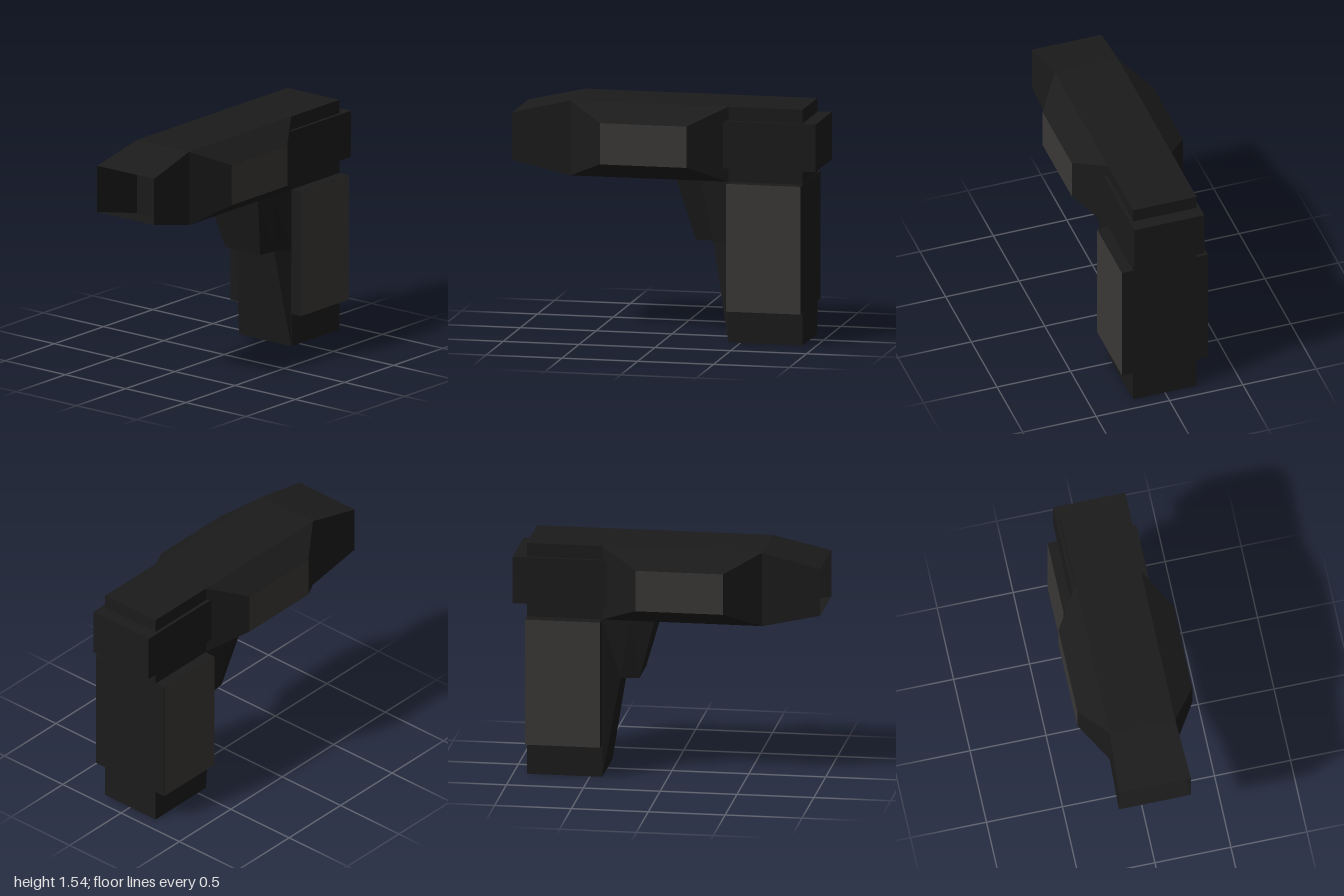
import * as THREE from 'three';

const dark = new THREE.MeshStandardMaterial({ color: 0x1b1b1b, flatShading: true });
const darkOpen = new THREE.MeshStandardMaterial({ color: 0x1b1b1b, flatShading: true, side: THREE.DoubleSide });
const light = new THREE.MeshStandardMaterial({ color: 0x3a3836, flatShading: true });

// Convex solid between two four-cornered loops; the end caps can be left off
function loft(a, b, caps = true) {
  const center = new THREE.Vector3();
  const A = a.map(p => new THREE.Vector3(...p));
  const B = b.map(p => new THREE.Vector3(...p));
  [...A, ...B].forEach(p => center.addScaledVector(p, 1 / 8));
  const faces = caps ? [A, B] : [];
  for (let i = 0; i < 4; i++) {
    const j = (i + 1) % 4;
    faces.push([A[i], A[j], B[j], B[i]]);
  }
  const points = [];
  for (const [p, q, r, s] of faces) {
    // Turn every face away from the middle of the solid
    const normal = r.clone().sub(p).cross(s.clone().sub(q));
    const out = p.clone().add(q).add(r).add(s).multiplyScalar(0.25).sub(center);
    points.push(...(normal.dot(out) > 0 ? [p, q, r, p, r, s] : [p, r, q, p, s, r]));
  }
  const geometry = new THREE.BufferGeometry().setFromPoints(points);
  geometry.computeVertexNormals();
  return geometry;
}

// Loops: upright across z, upright across x, and level with separate front and back widths
const acrossZ = (z, w, y0, y1) => [[-w, y0, z], [w, y0, z], [w, y1, z], [-w, y1, z]];
const acrossX = (x, z0, z1, y0, y1) => [[x, y0, z0], [x, y0, z1], [x, y1, z1], [x, y1, z0]];
const level = (y, zBack, wBack, zFront, wFront) =>
  [[-wBack, y, zBack], [wBack, y, zBack], [wFront, y, zFront], [-wFront, y, zFront]];

export function createModel() {
  const group = new THREE.Group();
  const add = (name, geometry, material = dark) => {
    const mesh = new THREE.Mesh(geometry, material);
    mesh.name = name;
    group.add(mesh);
    return mesh;
  };
  const block = (name, w, y0, y1, z0, z1) =>
    add(name, loft(acrossZ(z0, w, y0, y1), acrossZ(z1, w, y0, y1)));

  // Barrel with an open, tapering nozzle and a rear cap
  block('barrel', 0.216, 1.05, 1.54, -0.91, 0.62);
  add('nozzle', loft(acrossZ(0.62, 0.216, 1.05, 1.54), acrossZ(1, 0.237, 1.14, 1.45), false), darkOpen);
  block('rearCap', 0.237, 1.14, 1.45, -1, -0.38);

  // Grip with a wider sleeve around its upper part
  block('grip', 0.216, 0, 1.05, -0.91, -0.42);
  block('gripSleeve', 0.292, 0.215, 1.05, -0.912, -0.423);

  // Waisted front of the grip and the trigger block ahead of it
  const waist = level(0.65, -0.42, 0.216, -0.31, 0.162);
  add('gripFrontLower', loft(level(0, -0.43, 0.216, -0.42, 0.216), waist));
  add('gripFrontUpper', loft(waist, level(1.05, -0.42, 0.216, -0.24, 0.216)));
  add('trigger', loft(level(0.65, -0.31, 0.162, -0.19, 0.146), level(1.05, -0.24, 0.216, -0.08, 0.216)));

  // Bevelled side bulges, and the lighter plates on the bulges and the sleeve
  for (const side of [-1, 1]) {
    const label = side > 0 ? 'left' : 'right';
    add(label + 'Bulge', loft(
      acrossX(side * 0.216, -0.42, 0.62, 1.05, 1.54),
      acrossX(side * 0.378, -0.18, 0.39, 1.16, 1.43)));
    const plate = (name, x, z0, z1, y0, y1) => {
      const mesh = add(label + name, new THREE.PlaneGeometry(z1 - z0, y1 - y0), light);
      mesh.rotation.y = side * Math.PI / 2;
      mesh.position.set(side * x, (y0 + y1) / 2, (z0 + z1) / 2);
    };
    plate('BulgePlate', 0.379, -0.18, 0.39, 1.16, 1.43);
    plate('GripPlate', 0.293, -0.912, -0.423, 0.215, 1.05);
  }
  return group;
}
